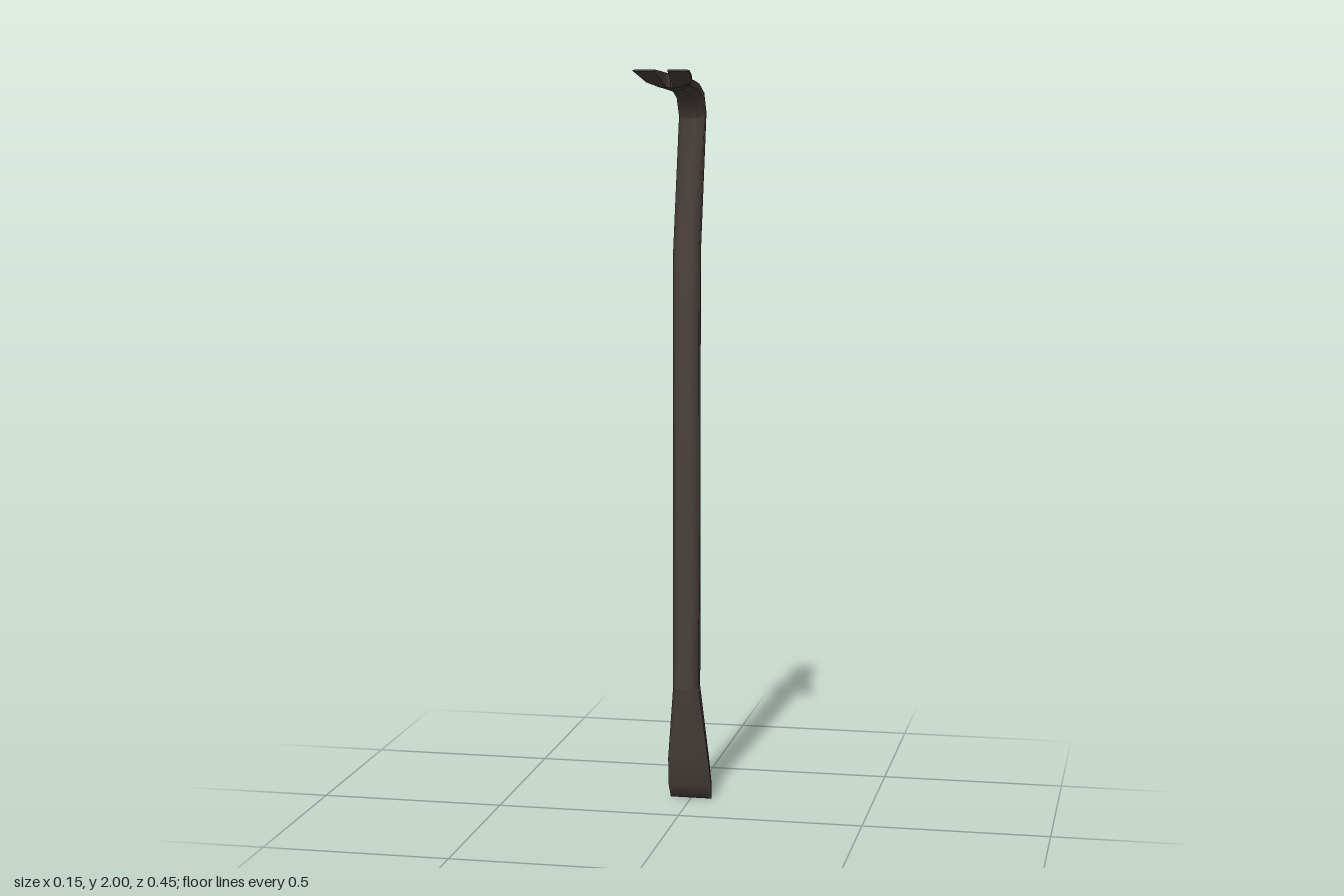
import * as THREE from 'three';
import { toCreasedNormals } from 'three/addons/utils/BufferGeometryUtils.js';

const steel = new THREE.MeshStandardMaterial({ color: 0x4c423d });
steel.name = 'dark steel';

// Point across the bar: t = -1 on the inner face, +1 on the outer face
function across([iz, iy, oz, oy], x, t) {
  const k = (t + 1) / 2;
  return [x, iy + (oy - iy) * k, iz + (oz - iz) * k];
}

// Octagonal ring; flat is the share of the width taken by the flat faces
function octagon(s) {
  const w = s[4], flat = s[5] ?? 0.45;
  return [[w, -0.42], [w, 0.42], [w * flat, 1], [-w * flat, 1],
    [-w, 0.42], [-w, -0.42], [-w * flat, -1], [w * flat, -1]]
    .map(([x, t]) => across(s, x, t));
}

// Half ring for one claw prong, between the notch edge a and the outer edge b
function prongRing(s, side) {
  const [a, b, flat] = [s[4], s[5], s[6]];
  const m = a + (b - a) * flat;
  const ring = [[a, -1], [m, -1], [b, -0.42], [b, 0.42], [m, 1], [a, 1]]
    .map(([x, t]) => across(s, x * side, t));
  return side > 0 ? ring : ring.reverse();
}

// Skin a row of rings, with optional end caps
function loft(name, rings, capStart, capEnd) {
  const n = rings[0].length, index = [], last = (rings.length - 1) * n;
  for (let i = 0; i < rings.length - 1; i++) {
    for (let j = 0; j < n; j++) {
      const a = i * n + j, b = i * n + (j + 1) % n;
      index.push(a, b, b + n, a, b + n, a + n);
    }
  }
  for (let j = 1; j < n - 1; j++) {
    if (capStart) index.push(0, j + 1, j);
    if (capEnd) index.push(last, last + j, last + j + 1);
  }
  const g = new THREE.BufferGeometry();
  g.setAttribute('position', new THREE.Float32BufferAttribute(rings.flat(2), 3));
  g.setIndex(index);
  const mesh = new THREE.Mesh(toCreasedNormals(g, 0.85), steel);
  mesh.name = name;
  return mesh;
}

export function createModel() {
  const group = new THREE.Group();
  group.name = 'pry bar';

  // Sections: inner z, inner y, outer z, outer y, half width, flat share
  const chisel = [
    [-0.174, 0.002, -0.18, 0, 0.057, 0.92],
    [-0.154, 0.04, -0.168, 0.055, 0.06, 0.85],
    [-0.127, 0.12, -0.155, 0.13, 0.056, 0.65],
    [-0.081, 0.33, -0.147, 0.33, 0.035],
  ];
  const shaft = [
    [-0.081, 0.33, -0.147, 0.33, 0.035],
    [-0.083, 0.8, -0.147, 0.8, 0.035],
    [-0.085, 1.53, -0.148, 1.51, 0.035],
    [-0.165, 1.87, -0.223, 1.89, 0.035],
    [-0.133, 1.915, -0.191, 1.947, 0.035],
    [-0.065, 1.938, -0.122, 1.972, 0.035],
    [0.04, 1.946, 0.03, 1.987, 0.036],
    [0.1, 1.953, 0.1, 1.991, 0.053],
  ];
  group.add(loft('chiselEnd', chisel.map(octagon), true, false));
  group.add(loft('shaftAndHook', shaft.map(octagon), false, false));

  // Prongs: inner z, inner y, outer z, outer y, notch edge, outer edge, flat share
  const prong = [
    [0.1, 1.953, 0.1, 1.991, 0, 0.053, 0.45],
    [0.107, 1.954, 0.107, 1.991, 0.007, 0.056, 0.42],
    [0.12, 1.957, 0.12, 1.992, 0.01, 0.06, 0.45],
    [0.165, 1.974, 0.165, 1.996, 0.013, 0.066, 0.6],
    [0.223, 1.995, 0.223, 2, 0.017, 0.073, 0.85],
  ];
  for (const [name, side] of [['leftProng', 1], ['rightProng', -1]]) {
    group.add(loft(name, prong.map((s) => prongRing(s, side)), false, true));
  }
  return group;
}
